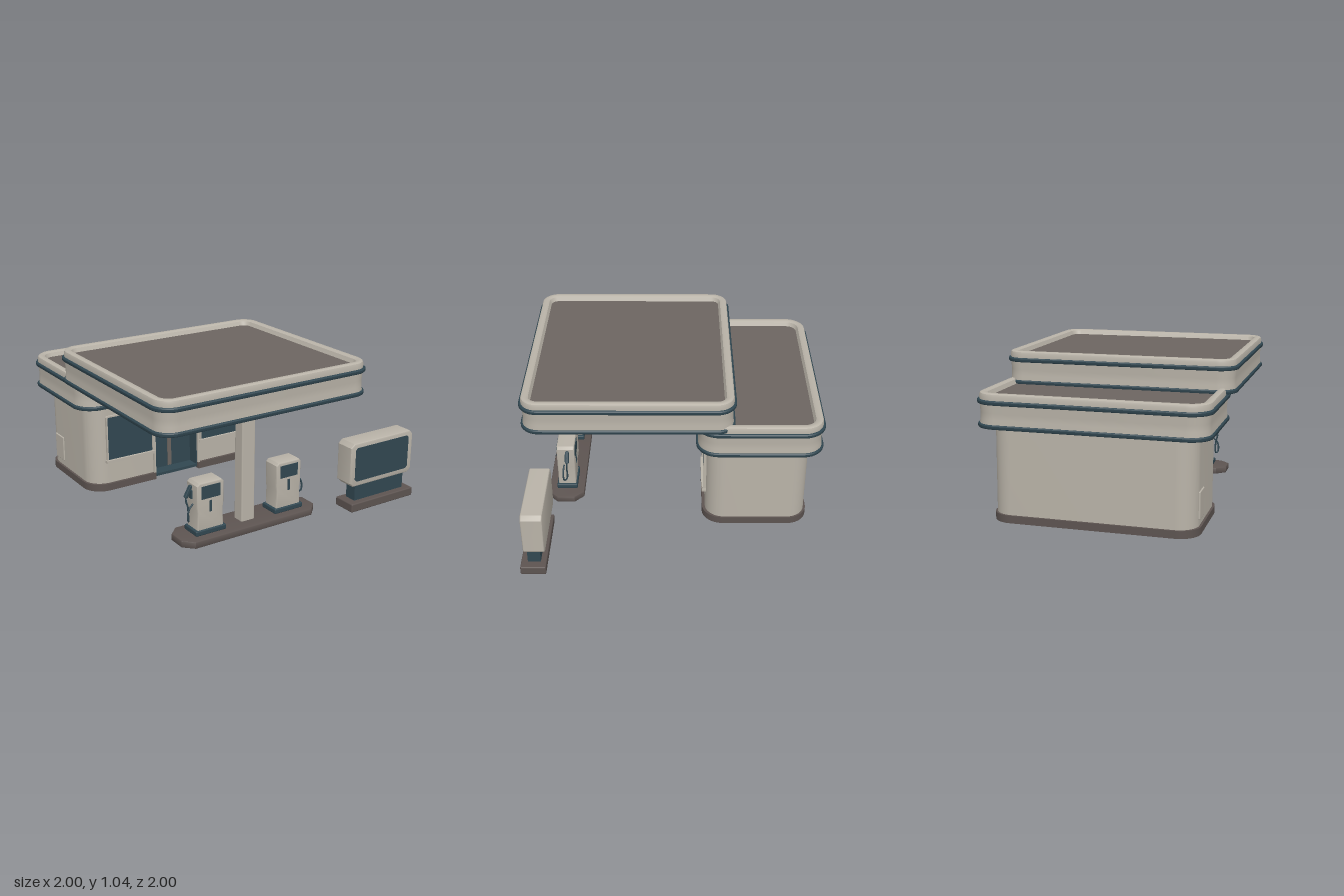
import * as THREE from 'three';
import { toCreasedNormals } from 'three/addons/utils/BufferGeometryUtils.js';
import { RoundedBoxGeometry } from 'three/addons/geometries/RoundedBoxGeometry.js';

const material = (name, color) => Object.assign(new THREE.MeshStandardMaterial({ color }), { name });

// Stack of rounded rectangles; profile points are [inset, y], running bottom to top outside
function loft(cx, cz, w, d, r, profile, capBottom = false, capTop = false) {
  const seg = 8, pos = [], idx = [], n = 4 * (seg + 1);
  for (const [inset, y] of profile) {
    const rr = Math.max(r - inset, 0.012), hx = w / 2 - inset - rr, hz = d / 2 - inset - rr;
    for (let q = 0; q < 4; q++) for (let i = 0; i <= seg; i++) {
      const a = (q + i / seg) * Math.PI / 2;
      const sx = q === 0 || q === 3 ? 1 : -1, sz = q < 2 ? 1 : -1;
      pos.push(cx + sx * hx + rr * Math.cos(a), y, cz + sz * hz + rr * Math.sin(a));
    }
  }
  for (let j = 0; j < profile.length - 1; j++) for (let k = 0; k < n; k++) {
    const a = j * n + k, b = j * n + (k + 1) % n;
    idx.push(a, a + n, b + n, a, b + n, b);
  }
  const cap = (row, top) => {
    const c = pos.length / 3;
    pos.push(cx, profile[row][1], cz);
    for (let k = 0; k < n; k++) {
      const a = row * n + k, b = row * n + (k + 1) % n;
      if (top) idx.push(c, b, a); else idx.push(c, a, b);
    }
  };
  if (capBottom) cap(0, false);
  if (capTop) cap(profile.length - 1, true);
  const g = new THREE.BufferGeometry();
  g.setAttribute('position', new THREE.Float32BufferAttribute(pos, 3));
  g.setIndex(idx);
  return toCreasedNormals(g, 0.6);
}

// Rounded floor plan with an entrance notch at the front, extruded upward
function notchedPlan(x0, x1, zBack, zFront, r, n0, n1, nDepth, y, h) {
  const s = new THREE.Shape(), lo = -zFront, hi = -zBack, P = Math.PI;
  s.moveTo(x0 + r, lo);
  s.lineTo(n0, lo); s.lineTo(n0, lo + nDepth); s.lineTo(n1, lo + nDepth); s.lineTo(n1, lo);
  s.absarc(x1 - r, lo + r, r, -P / 2, 0);
  s.absarc(x1 - r, hi - r, r, 0, P / 2);
  s.absarc(x0 + r, hi - r, r, P / 2, P);
  s.absarc(x0 + r, lo + r, r, P, 1.5 * P);
  const g = new THREE.ExtrudeGeometry(s, { depth: h, bevelEnabled: false, curveSegments: 10 });
  return toCreasedNormals(g.rotateX(-P / 2).translate(0, y, 0), 0.5);
}

function chamferShape(w, h, c, S = THREE.Shape) {
  const x = w / 2, y = h / 2;
  return new S([[-x + c, -y], [x - c, -y], [x, -y + c], [x, y - c], [x - c, y], [-x + c, y], [-x, y - c], [-x, -y + c]]
    .map(p => new THREE.Vector2(...p)));
}

export function createModel() {
  const cream = material('cream paint', 0xb9b3a8), deck = material('roof grey', 0x6c6560);
  const teal = material('dark teal', 0x314751), kerb = material('kerb brown', 0x5d5451);
  const root = new THREE.Group();
  root.name = 'fuelStation';
  const add = (parent, name, geo, mat, x = 0, y = 0, z = 0) => {
    const m = new THREE.Mesh(geo, mat);
    m.name = name;
    m.position.set(x, y, z);
    parent.add(m);
    return m;
  };
  const group = name => { const g = new THREE.Group(); g.name = name; root.add(g); return g; };
  const box = (w, h, d) => new THREE.BoxGeometry(w, h, d);

  // Flat roofs: fascia with rounded rim, recessed deck, pale soffit, two trim bands
  function roof(name, cx, cz, w, d, r, y0, y1) {
    const g = group(name), b = y1 - 0.06;
    add(g, 'fascia', loft(cx, cz, w, d, r, [[0.016, y0 + 0.01], [0.016, y0 + 0.03], [0.021, y0 + 0.06], [0.021, y0 + 0.1],
      [0.015, b], [0.015, y1 - 0.02], [0.02, y1 - 0.006], [0.03, y1], [0.052, y1], [0.066, y1 - 0.008], [0.08, y1 - 0.038]]), cream);
    add(g, 'deck', loft(cx, cz, w, d, r, [[0.077, y1 - 0.05], [0.077, y1 - 0.035]], false, true), deck);
    add(g, 'soffit', loft(cx, cz, w, d, r, [[0.012, y0 + 0.009], [0.012, y0 + 0.02]], true), cream);
    for (const [y, inset] of [[y0, 0.004], [b - 0.013, 0]])
      add(g, 'trimBand', loft(cx, cz, w, d, r, [[inset + 0.02, y + 0.012], [inset + 0.012, y], [inset + 0.004, y + 0.002],
        [inset, y + 0.008], [inset, y + 0.022], [inset + 0.006, y + 0.029], [inset + 0.04, y + 0.029]]), teal);
  }
  roof('canopy', -0.21, 0.294, 1.58, 1.408, 0.13, 0.815, 1.04);
  roof('shopRoof', -0.19, -0.574, 1.52, 0.852, 0.15, 0.628, 0.855);

  // Shop with recessed entrance
  const shop = group('shop'), n0 = -0.36, n1 = 0, nc = (n0 + n1) / 2;
  add(shop, 'walls', notchedPlan(-0.855, 0.475, -0.91, -0.22, 0.13, n0, n1, 0.1, 0.05, 0.6), cream);
  add(shop, 'plinth', notchedPlan(-0.87, 0.485, -0.925, -0.2, 0.14, n0, n1, 0.12, 0.008, 0.05), kerb);
  add(shop, 'entranceFloor', box(n1 - n0, 0.02, 0.1), teal, nc, 0.03, -0.27);
  add(shop, 'doorGlass', box(n1 - n0, 0.6, 0.008), teal, nc, 0.335, -0.315);
  add(shop, 'doorMullion', box(0.03, 0.58, 0.012), deck, -0.187, 0.335, -0.31);
  for (const s of [-1, 1]) {
    add(shop, 'entranceSide', box(0.008, 0.59, 0.095), teal, nc + s * 0.176, 0.335, -0.27);
    add(shop, 'entrancePost', box(0.014, 0.56, 0.02), cream, nc + s * 0.185, 0.335, -0.213);
  }

  // Shop windows
  for (const x of [-0.558, 0.202]) {
    const w = 0.37, h = 0.335;
    const frame = chamferShape(w, h, 0.008);
    frame.holes.push(chamferShape(w - 0.02, h - 0.02, 0.006, THREE.Path));
    add(shop, 'windowFrame', new THREE.ExtrudeGeometry(frame, { depth: 0.022, bevelEnabled: false }), cream, x, 0.388, -0.225);
    add(shop, 'windowGlass', box(w - 0.015, h - 0.015, 0.008), teal, x, 0.388, -0.215);
    add(shop, 'windowSill', box(w + 0.015, 0.02, 0.03), cream, x, 0.223, -0.209);
  }

  // Service hatch on the side wall
  add(shop, 'serviceHatch', new RoundedBoxGeometry(0.016, 0.18, 0.13, 2, 0.006), cream, -0.855, 0.19, -0.735);

  // Pump island and canopy column
  const island = group('pumpIsland');
  const slab = new THREE.ExtrudeGeometry(chamferShape(1.015, 0.235, 0.06),
    { depth: 0.035, bevelThickness: 0.006, bevelSize: 0.008, bevelSegments: 2 }).rotateX(-Math.PI / 2);
  add(island, 'islandSlab', toCreasedNormals(slab, 0.6), kerb, -0.255, 0.017, 0.765);
  add(island, 'canopyColumn', new RoundedBoxGeometry(0.1, 0.78, 0.085, 2, 0.008), cream, -0.257, 0.44, 0.762);

  // Fuel pumps, hose on the outer side
  for (const [cx, s] of [[-0.555, -1], [0.05, 1]]) {
    const pump = group('fuelPump');
    pump.position.set(cx, 0, 0.762);
    add(pump, 'pumpFoot', new RoundedBoxGeometry(0.225, 0.035, 0.145, 2, 0.008), teal, 0, 0.075, 0);
    const half = [[0.087, 0.085], [0.084, 0.21], [0.089, 0.245], [0.089, 0.385], [0.078, 0.397]];
    const outline = [...half, ...half.map(([x, y]) => [-x, y]).reverse()];
    const body = new THREE.ExtrudeGeometry(new THREE.Shape(outline.map(p => new THREE.Vector2(...p))),
      { depth: 0.104, bevelThickness: 0.01, bevelSize: 0.009, bevelSegments: 3 });
    add(pump, 'pumpBody', toCreasedNormals(body.translate(0, 0, -0.052), 0.6), cream);
    for (const f of [-1, 1]) {
      add(pump, 'pumpScreen', box(0.138, 0.085, 0.006), teal, 0, 0.341, f * 0.063);
      add(pump, 'pumpSlot', box(0.016, 0.075, 0.006), teal, 0, 0.243, f * 0.063);
    }
    add(pump, 'nozzleHolder', box(0.018, 0.055, 0.03), teal, s * 0.1, 0.32, -0.008);
    const nozzle = add(pump, 'nozzle', new RoundedBoxGeometry(0.022, 0.085, 0.026, 2, 0.006), teal, s * 0.12, 0.338, -0.012);
    nozzle.rotation.z = s * 0.5;
    const path = [[0.1, 0.38, -0.012], [0.128, 0.335, -0.012], [0.137, 0.285, -0.01], [0.125, 0.235, -0.006], [0.122, 0.17, -0.006],
      [0.126, 0.148, 0.004], [0.136, 0.152, 0.016], [0.142, 0.19, 0.02], [0.128, 0.235, 0.018], [0.1, 0.26, 0.014]];
    const curve = new THREE.CatmullRomCurve3(path.map(([x, y, z]) => new THREE.Vector3(s * x, y, z)));
    add(pump, 'hose', new THREE.TubeGeometry(curve, 48, 0.006, 8), teal);
  }

  // Price sign without lettering
  const sign = group('roadSign');
  sign.position.set(0.727, 0, 0);
  add(sign, 'signBase', new RoundedBoxGeometry(0.545, 0.06, 0.168, 2, 0.008), kerb, 0, 0.03, 0.912);
  add(sign, 'signPedestal', box(0.43, 0.13, 0.085), teal, 0, 0.115, 0.908);
  const panel = new THREE.ExtrudeGeometry(chamferShape(0.526, 0.288, 0.022),
    { depth: 0.12, bevelThickness: 0.01, bevelSize: 0.009, bevelSegments: 3 });
  add(sign, 'signPanel', toCreasedNormals(panel, 0.6), cream, 0, 0.323, 0.836);
  add(sign, 'signFace', new THREE.ExtrudeGeometry(chamferShape(0.468, 0.24, 0.015),
    { depth: 0.006, bevelEnabled: false }), teal, 0, 0.325, 0.962);
  return root;
}
